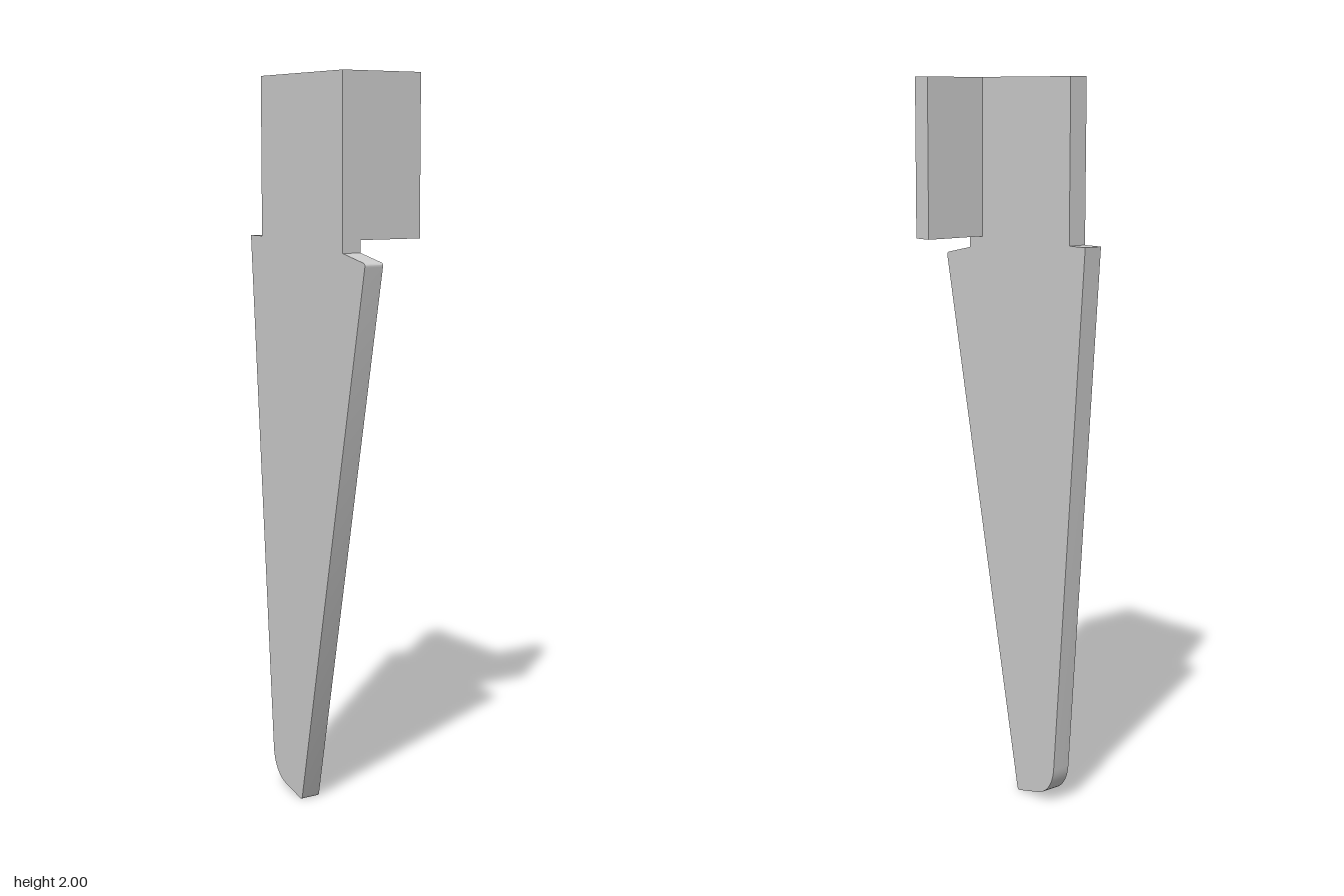
import * as THREE from 'three';
import { toCreasedNormals } from 'three/addons/utils/BufferGeometryUtils.js';

export function createModel() {
  const group = new THREE.Group();
  const material = new THREE.MeshStandardMaterial({ color: 0xcccccc });
  const thickness = 0.055;
  const left = -0.121, right = 0.12;      // x limits
  const flangeBottom = 1.57, top = 2;
  const frontZ = 0.186, backZ = -0.23;    // upper tang limits

  // Tapered blade with upper tang, drawn with u = -z and v = y
  const s = new THREE.Shape();
  s.moveTo(0.037, 0);
  s.lineTo(0.118, 0.02);
  s.bezierCurveTo(0.155, 0.03, 0.179, 0.062, 0.183, 0.105); // rounded tip
  s.lineTo(0.292, 1.567);
  s.lineTo(-backZ, 1.567);
  s.lineTo(-backZ, top);
  s.lineTo(-frontZ, top);
  s.lineTo(-frontZ, 1.537);
  s.lineTo(-0.284, 1.517);
  s.quadraticCurveTo(-0.292, 1.515, -0.29, 1.506);          // eased shoulder
  s.lineTo(0.026, 0.008);
  s.quadraticCurveTo(0.028, -0.002, 0.037, 0);
  const bladeGeometry = new THREE.ExtrudeGeometry(s, {
    depth: thickness, bevelEnabled: false, curveSegments: 10,
  });
  bladeGeometry.rotateY(Math.PI / 2);
  bladeGeometry.translate(left, 0, 0);
  const blade = new THREE.Mesh(toCreasedNormals(bladeGeometry, 0.5), material);
  blade.name = 'blade';
  group.add(blade);

  // Side flange at right angles to the tang
  const inner = left + thickness;
  const flange = new THREE.Mesh(
    new THREE.BoxGeometry(right - inner, top - flangeBottom, thickness), material);
  flange.position.set((right + inner) / 2, (top + flangeBottom) / 2, frontZ - thickness / 2);
  flange.name = 'flange';
  group.add(flange);

  return group;
}
